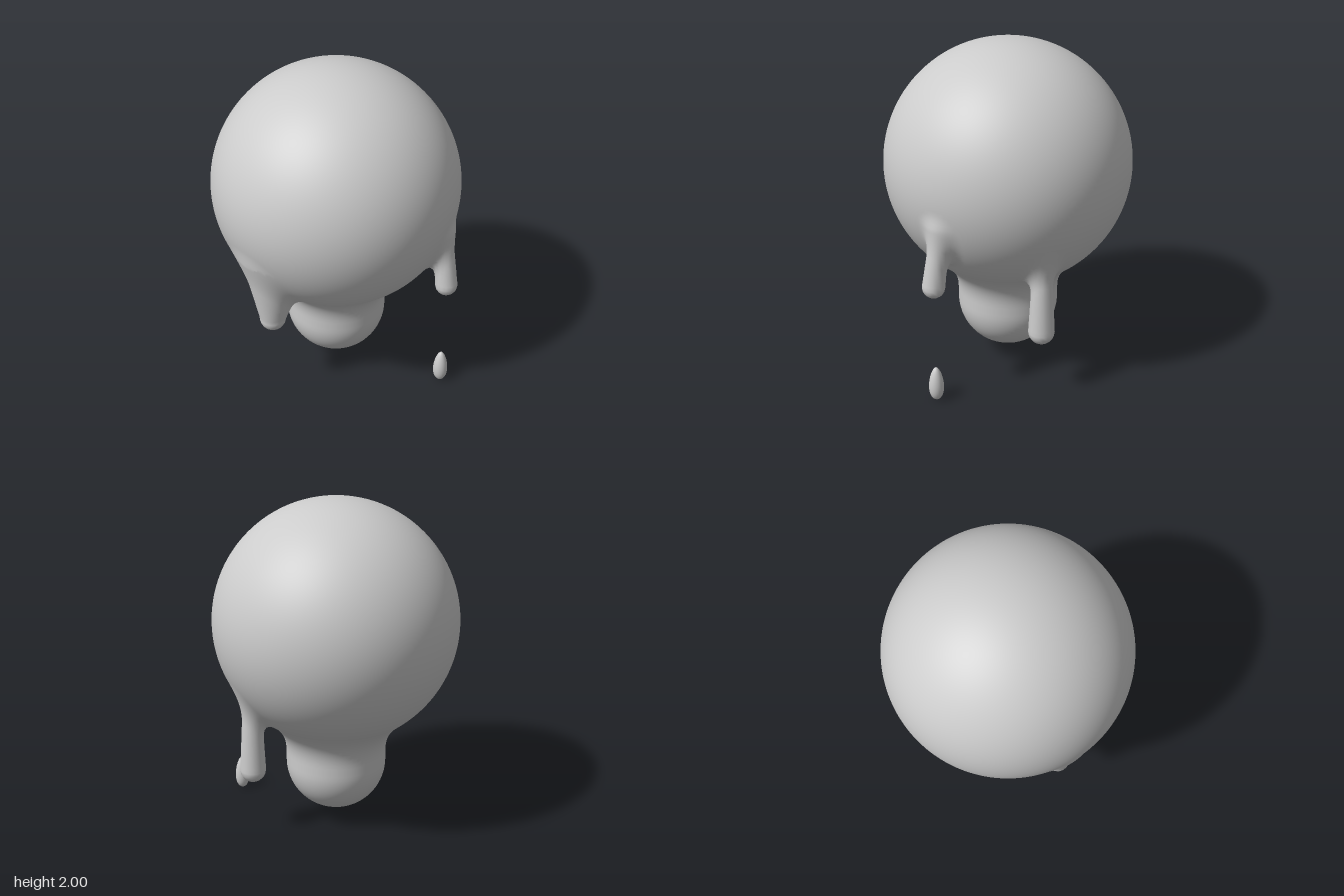
import * as THREE from 'three';

const V = (x, y, z) => new THREE.Vector3(x, y, z);

// Tapered limbs of the melting mass: ends a and b, radii ra and rb, blend width k
const limbs = [
  { a: V(0, 0.8, 0), b: V(0, 0.382, 0), ra: 0.303, rb: 0.303, k: 0.15 },             // neck
  { a: V(0.33, 1.08, 0.585), b: V(0.33, 0.745, 0.632), ra: 0.052, rb: 0.066, k: 0.09 }, // front drip
  { a: V(0.54, 0.92, 0.055), b: V(0.543, 0.418, 0.058), ra: 0.05, rb: 0.077, k: 0.09 }, // left drip
  { a: V(-0.47, 0.98, 0.05), b: V(-0.532, 0.57, 0.08), ra: 0.21, rb: 0.078, k: 0.07 },  // broad right drip
].map((l) => ({ ...l, d: l.b.clone().sub(l.a) }));

function limbDistance({ a, d, ra, rb }, x, y, z) {
  const px = x - a.x, py = y - a.y, pz = z - a.z;
  const t = THREE.MathUtils.clamp((px * d.x + py * d.y + pz * d.z) / d.lengthSq(), 0, 1);
  return Math.hypot(px - d.x * t, py - d.y * t, pz - d.z * t) - (ra + (rb - ra) * t);
}

// Large ball softly merged with the limbs; negative inside
function field(x, y, z) {
  let f = Math.hypot(x, y - 1.273, z) - 0.727;
  for (const limb of limbs) {
    const g = limbDistance(limb, x, y, z);
    const h = Math.max(limb.k - Math.abs(f - g), 0);
    f = Math.min(f, g) - (h * h) / (4 * limb.k);
  }
  return f;
}

function gradient(p) {
  const e = 0.002;
  return V(
    field(p.x + e, p.y, p.z) - field(p.x - e, p.y, p.z),
    field(p.x, p.y + e, p.z) - field(p.x, p.y - e, p.z),
    field(p.x, p.y, p.z + e) - field(p.x, p.y, p.z - e),
  ).divideScalar(2 * e);
}

// Quad skin over the zero level of the field, one vertex per crossed grid cell
function skinGeometry(min, size, step) {
  const n = size.map((s) => Math.ceil(s / step));
  const stride = [1, n[0], n[0] * n[1]];
  const total = n[0] * n[1] * n[2];
  const values = new Float32Array(total);
  const point = (i, j, k) => V(min[0] + i * step, min[1] + j * step, min[2] + k * step);
  const eachCell = (margin, fn) => {
    for (let k = margin; k < n[2] - margin; k++)
      for (let j = margin; j < n[1] - margin; j++)
        for (let i = margin; i < n[0] - margin; i++) fn(i, j, k, i + j * stride[1] + k * stride[2]);
  };
  eachCell(0, (i, j, k, c) => {
    const p = point(i, j, k);
    values[c] = field(p.x, p.y, p.z);
  });

  const positions = [], normals = [], index = [];
  const vertexOf = new Int32Array(total).fill(-1);
  eachCell(1, (i, j, k, c) => {
    let inside = 0;
    for (let q = 0; q < 8; q++) {
      const corner = c + (q & 1) + ((q >> 1) & 1) * stride[1] + (q >> 2) * stride[2];
      if (values[corner] < 0) inside++;
    }
    if (inside === 0 || inside === 8) return;
    // Pull the cell centre onto the surface
    const p = point(i + 0.5, j + 0.5, k + 0.5);
    for (let s = 0; s < 4; s++) {
      const g = gradient(p);
      p.addScaledVector(g, -field(p.x, p.y, p.z) / Math.max(g.lengthSq(), 0.2));
    }
    vertexOf[c] = positions.length / 3;
    positions.push(p.x, p.y, p.z);
    normals.push(...gradient(p).normalize().toArray());
  });

  // Join the four cells around every crossed grid edge
  eachCell(2, (i, j, k, c) => {
    for (let axis = 0; axis < 3; axis++) {
      const here = values[c] < 0;
      if (here === values[c + stride[axis]] < 0) continue;
      const u = stride[(axis + 1) % 3], v = stride[(axis + 2) % 3];
      const quad = [c - u - v, c - v, c, c - u].map((cell) => vertexOf[cell]);
      if (!here) quad.reverse();
      index.push(quad[0], quad[1], quad[2], quad[0], quad[2], quad[3]);
    }
  });

  const geometry = new THREE.BufferGeometry();
  geometry.setAttribute('position', new THREE.Float32BufferAttribute(positions, 3));
  geometry.setAttribute('normal', new THREE.Float32BufferAttribute(normals, 3));
  geometry.setIndex(index);
  return geometry;
}

export function createModel() {
  const group = new THREE.Group();
  const material = new THREE.MeshStandardMaterial({ color: 0xcccccc });

  // Ball, neck and hanging drips in one continuous skin
  const body = new THREE.Mesh(skinGeometry([-0.83, -0.02, -0.83], [1.68, 2.14, 1.68], 0.025), material);
  body.name = 'meltingBody';
  group.add(body);

  // Falling droplet, an egg with its narrow end up
  const profile = [];
  for (let i = 0; i <= 20; i++) {
    const t = (i / 20) * Math.PI;
    const r = i % 20 ? Math.sin(t) * (0.043 + 0.01 * Math.cos(t)) : 0;
    profile.push(new THREE.Vector2(r, 0.107 - 0.107 * Math.cos(t)));
  }
  const droplet = new THREE.Mesh(new THREE.LatheGeometry(profile, 24), material);
  droplet.name = 'fallingDroplet';
  droplet.position.set(0.328, 0, 0.632);
  group.add(droplet);

  return group;
}
